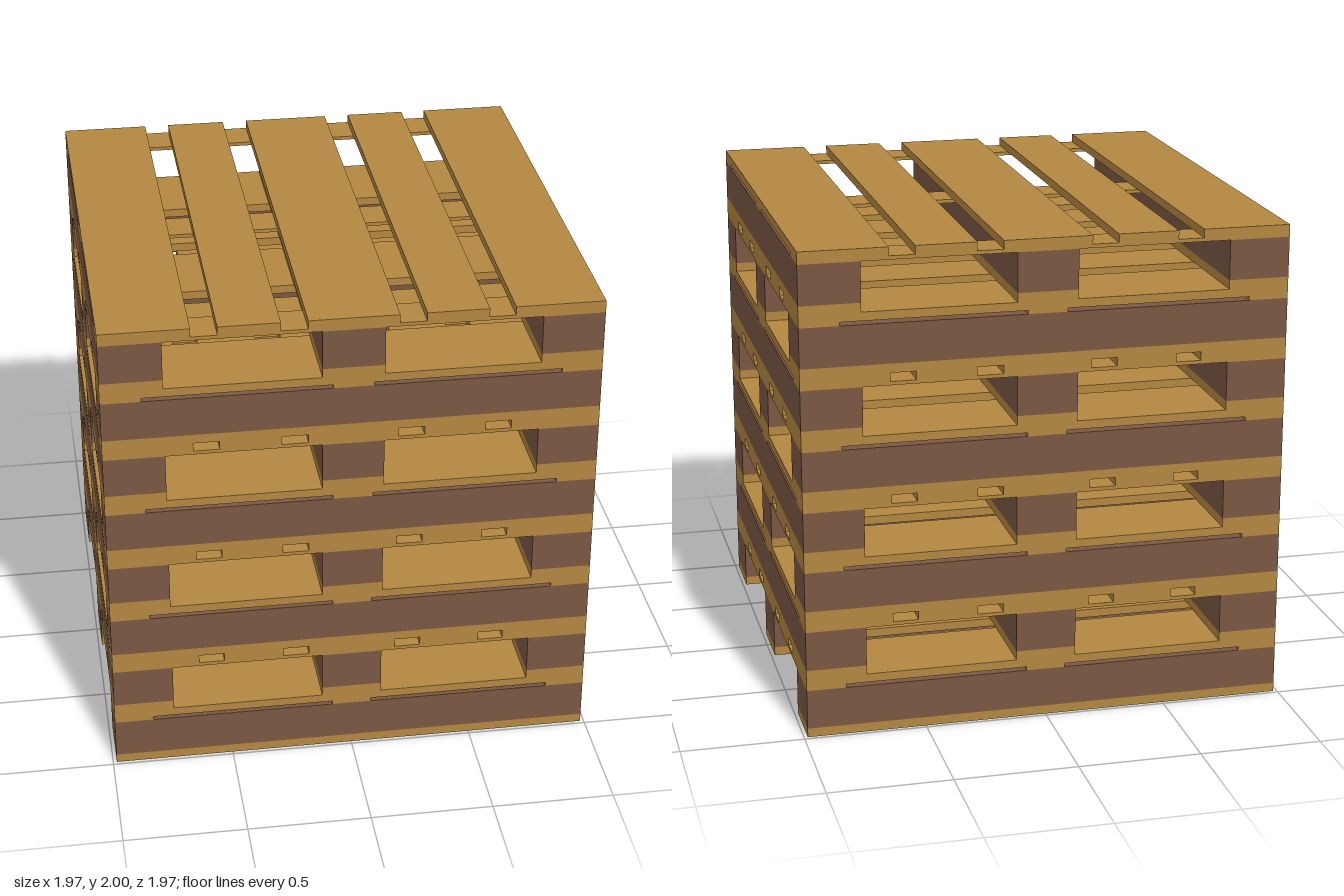
import * as THREE from 'three';

const HALF = 0.985;          // half the pallet's width
const LAYERS = 8;
const PALLET_HEIGHT = 0.25;

const plank = new THREE.MeshStandardMaterial({ color: 0xb38740 });
const timber = new THREE.MeshStandardMaterial({ color: 0x7a5742 });

// Board running the full length along z, spanning x0..x1 and y0..y1
function board(name, x0, x1, y0, y1, material) {
  const mesh = new THREE.Mesh(new THREE.BoxGeometry(x1 - x0, y1 - y0, 2 * HALF), material);
  mesh.position.set((x0 + x1) / 2, (y0 + y1) / 2, 0);
  mesh.name = name;
  return mesh;
}

function createPallet() {
  const pallet = new THREE.Group();

  // Three runners, each a base board with a timber beam on it
  for (const [x0, x1] of [[-HALF, -0.74], [-0.123, 0.123], [0.74, HALF]]) {
    pallet.add(board('baseBoard', x0, x1, 0, 0.037, plank));
    pallet.add(board('beam', x0, x1, 0.037, 0.2, timber));
  }

  // Three thin boards across the beams
  for (const [z0, z1] of [[-HALF, -0.825], [-0.08, 0.08], [0.825, HALF]]) {
    const cross = new THREE.Group();
    cross.name = 'crossBoard';
    cross.add(board('crossBoardPlank', z0, z1, 0.2, 0.215, plank));
    cross.rotation.y = Math.PI / 2;
    pallet.add(cross);
  }

  // Five deck boards, parallel to the beams
  const deck = [[-HALF, -0.63], [-0.527, -0.283], [-0.178, 0.178], [0.283, 0.527], [0.63, HALF]];
  for (const [x0, x1] of deck) {
    pallet.add(board('deckBoard', x0, x1, 0.215, PALLET_HEIGHT, plank));
  }
  return pallet;
}

export function createModel() {
  const model = new THREE.Group();
  model.name = 'palletStack';

  // Each pallet is a quarter turn from the one below; the lowest runs along x
  for (let i = 0; i < LAYERS; i++) {
    const pallet = createPallet();
    pallet.name = `pallet${i + 1}`;
    pallet.position.y = i * PALLET_HEIGHT;
    pallet.rotation.y = i % 2 === 0 ? Math.PI / 2 : 0;
    model.add(pallet);
  }
  return model;
}
